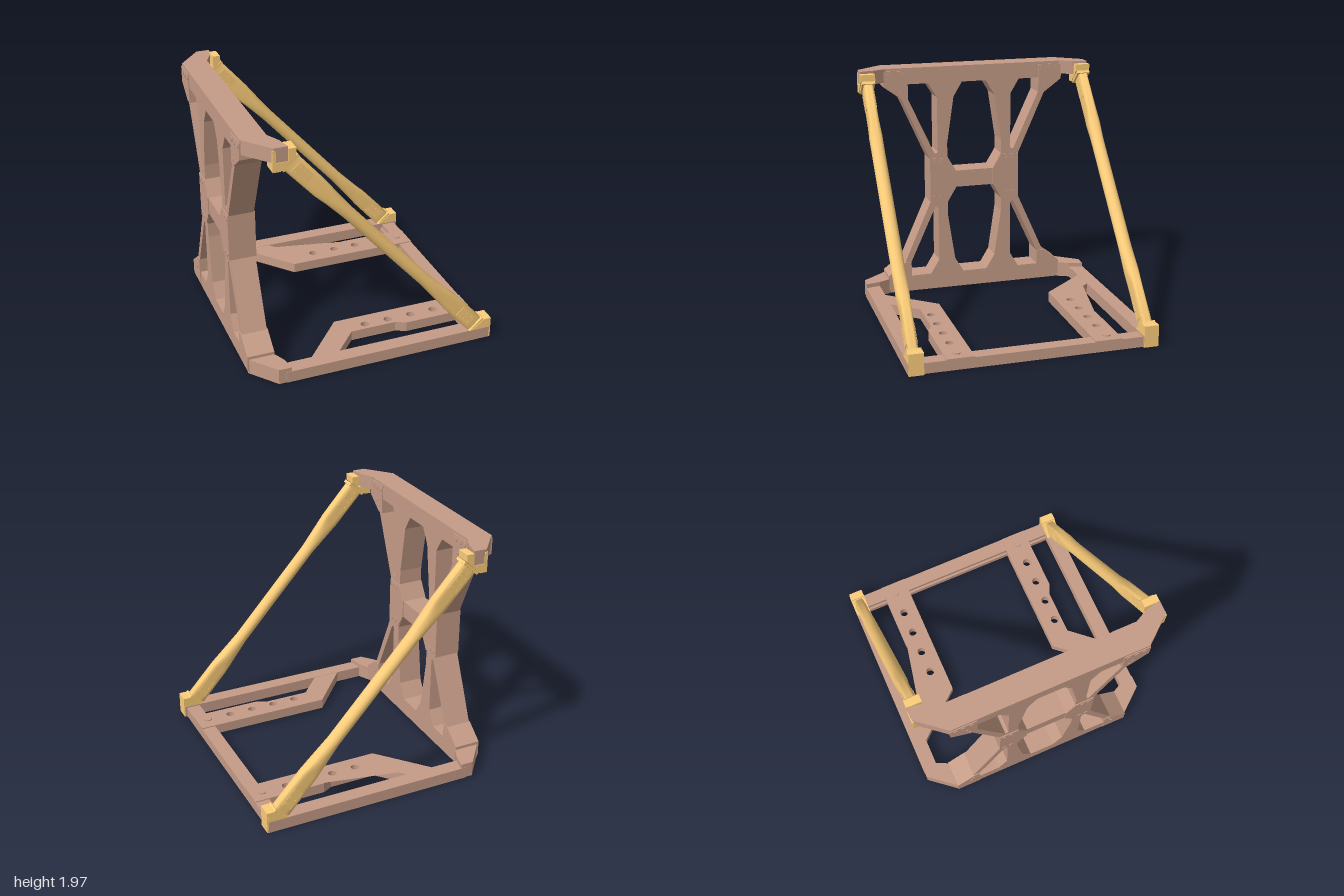
import * as THREE from 'three';

const brown = new THREE.MeshStandardMaterial({ color: 0xc69c87 });
const yellow = new THREE.MeshStandardMaterial({ color: 0xfccd7a });

const vec = (pts) => pts.map(([a, b]) => new THREE.Vector2(a, b));
const circle = (x, y, r) =>
  Array.from({ length: 24 }, (_, i) => [x + r * Math.cos((i * Math.PI) / 12), y + r * Math.sin((i * Math.PI) / 12)]);

// Points with a given winding: 1 is counter-clockwise, -1 is clockwise
function wound(pts, sign) {
  const v = vec(pts);
  return THREE.ShapeUtils.area(v) * sign < 0 ? v.reverse() : v;
}

function extrude(pts, holes, depth) {
  const shape = new THREE.Shape(wound(pts, 1));
  shape.holes = holes.map((h) => new THREE.Path(wound(h, -1)));
  return new THREE.ExtrudeGeometry(shape, { depth, bevelEnabled: false });
}

function add(parent, name, geometry, material = brown) {
  const mesh = new THREE.Mesh(geometry, material);
  mesh.name = name;
  parent.add(mesh);
  return mesh;
}

// Outline in (z, y), filling x0..x1
const sidePlate = (pts, holes, x0, x1) =>
  extrude(pts, holes, x1 - x0).rotateY(-Math.PI / 2).translate(x1, 0, 0);

// Outline in (x, z), filling y0..y1
const planPlate = (pts, holes, y0, y1) =>
  extrude(pts, holes, y1 - y0).rotateX(Math.PI / 2).translate(0, y1, 0);

const box = (x0, x1, y0, y1, z0, z1) =>
  new THREE.BoxGeometry(x1 - x0, y1 - y0, z1 - z0)
    .translate((x0 + x1) / 2, (y0 + y1) / 2, (z0 + z1) / 2);

// Strut lofted from flat rectangular ends to a round middle, along local y
function strutGeometry(length) {
  // [distance, half depth, half width in z, roundness]
  const half = [[0, 0.072, 0.038, 0], [0.36, 0.068, 0.04, 0], [0.48, 0.06, 0.053, 0.5], [0.68, 0.05, 0.054, 1]];
  const rings = [...half, ...half.slice().reverse().map(([d, a, b, k]) => [length - d, a, b, k])];
  const n = 24, pos = [], idx = [];
  for (const [d, a, b, k] of rings) {
    for (let i = 0; i < n; i++) {
      const t = ((i + 0.5) / n) * Math.PI * 2;
      const c = Math.cos(t), s = Math.sin(t);
      const f = k + (1 - k) / Math.max(Math.abs(c), Math.abs(s));
      pos.push(a * c * f, d, b * s * f);
    }
  }
  for (let r = 0; r < rings.length - 1; r++) {
    for (let i = 0; i < n; i++) {
      const p = r * n + i, q = r * n + ((i + 1) % n);
      idx.push(p, p + n, q, q, p + n, q + n);
    }
  }
  // end caps
  const last = (rings.length - 1) * n;
  for (let i = 1; i < n - 1; i++) {
    idx.push(0, i, i + 1, last, last + i + 1, last + i);
  }
  const g = new THREE.BufferGeometry();
  g.setAttribute('position', new THREE.Float32BufferAttribute(pos, 3));
  g.setIndex(idx);
  g.computeVertexNormals();
  return g;
}

function buildBackFrame() {
  const frame = new THREE.Group();
  frame.name = 'backFrame';
  const flip = ([z, y]) => [z, 1.995 - y];
  const mirror = ([z, y]) => [-z, y];

  // Outer outline, built from one quarter
  const quarter = [[0.78, 1.983], [0.78, 1.83], [0.63, 1.72], [0.395, 1.19]];
  const right = [...quarter, ...quarter.map(flip).reverse()];
  const outline = [...right, ...right.map(mirror).reverse()];

  // Centre and side windows
  const centre = [[0.105, 1.845], [0.18, 1.72], [0.24, 1.32], [0.24, 1.2], [0.165, 1.07]];
  const centreHole = [...centre, ...centre.map(mirror).reverse()];
  const sideHole = [[0.4, 1.845], [0.575, 1.845], [0.575, 1.72], [0.362, 1.255], [0.35, 1.235], [0.335, 1.235], [0.325, 1.25], [0.325, 1.72]];
  const windows = [centreHole, sideHole, sideHole.map(mirror)];
  const holes = [...windows, ...windows.map((w) => w.map(flip))];
  add(frame, 'framePanel', sidePlate(outline, holes, -0.975, -0.774));

  // Gusset and node plates with bolts on both faces
  const gusset = [[0.78, 1.96], [0.575, 1.96], [0.575, 1.72], [0.63, 1.72], [0.78, 1.83]];
  const node = [[0.395, 1.19], [0.24, 1.19], [0.165, 1.07], [0.165, 0.9975], [0.395, 0.9975]];
  const bolts = [[0.65, 1.825, 0.011], [0.63, 1.775, 0.011], [0.355, 1.15, 0.02], [0.3, 1.15, 0.02]];
  const topBolts = [[0.61, 1.925, 0.02], [0.675, 1.925, 0.02], [0.735, 1.925, 0.02]];
  for (const s of [1, -1]) {
    for (const up of [true, false]) {
      const place = ([z, y]) => (up ? [s * z, y] : flip([s * z, y]));
      for (const [x0, x1] of [[-0.983, -0.975], [-0.774, -0.766]]) {
        add(frame, 'gussetPlate', sidePlate(gusset.map(place), [], x0, x1));
        add(frame, 'nodePlate', sidePlate(node.map(place), [], x0, x1));
        for (const [z, y, r] of up ? [...bolts, ...topBolts] : bolts) {
          const [pz, py] = place([z, y]);
          const disc = new THREE.CylinderGeometry(r, r, 0.018, 16).rotateZ(Math.PI / 2);
          add(frame, 'bolt', disc).position.set((x0 + x1) / 2, py, pz);
        }
      }
    }
    // Angled corner pieces at the top and bottom
    const corner = [[-0.978, 0.77], [-0.8, 0.987], [-0.695, 0.987], [-0.72, 0.87], [-0.772, 0.765]]
      .map(([x, z]) => [x, s * z]);
    add(frame, 'topCorner', planPlate(corner, [], 1.87, 1.983));
    add(frame, 'bottomCorner', planPlate(corner, [], 0.012, 0.14));
  }
  return frame;
}

function buildBase() {
  const base = new THREE.Group();
  base.name = 'base';
  add(base, 'frontCrossbar', box(0.845, 0.96, 0.01, 0.095, -0.88, 0.88));
  add(base, 'crossbarLedge', box(0.825, 0.85, 0.01, 0.06, -0.88, 0.88));
  for (const s of [1, -1]) {
    add(base, 'sideRail', box(-0.74, 0.975, 0.01, 0.105, s * 0.93 - 0.06, s * 0.93 + 0.06));
    // Cranked bracket with lightening holes
    const plan = [[-0.5, 0.875], [-0.16, 0.48], [0.96, 0.48], [0.96, 0.7], [0.38, 0.7], [0.3, 0.66], [-0.08, 0.66], [-0.27, 0.875]]
      .map(([x, z]) => [x, s * z]);
    const holes = [0.06, 0.26, 0.46, 0.66].map((x) => circle(x, s * 0.6, 0.034));
    add(base, 'perforatedBracket', planPlate(plan, holes, 0.02, 0.103));
    const boss = new THREE.CylinderGeometry(0.032, 0.032, 0.02, 20);
    add(base, 'bracketBoss', boss).position.set(0.865, 0.102, s * 0.6);
  }
  return base;
}

function buildStrut(s) {
  const group = new THREE.Group();
  group.name = s > 0 ? 'leftStrut' : 'rightStrut';
  const a = new THREE.Vector3(-0.685, 1.86, s * 0.932);
  const b = new THREE.Vector3(0.865, 0.13, s * 0.932);
  const length = a.distanceTo(b);
  const rod = new THREE.Group();
  rod.name = 'diagonal';
  rod.position.copy(a);
  rod.quaternion.setFromUnitVectors(new THREE.Vector3(0, 1, 0), b.clone().sub(a).normalize());
  add(rod, 'strutTube', strutGeometry(length), yellow);
  // Raised pads, bolts and collars at both ends
  for (const d of [0.15, length - 0.15]) {
    add(rod, 'strutPad', box(-0.045, 0.045, d - 0.08, d + 0.08, -0.043, 0.043), yellow);
    for (const u of [-0.025, 0.025]) {
      for (const v of [-0.05, 0, 0.05]) {
        const pin = new THREE.CylinderGeometry(0.006, 0.006, 0.094, 10).rotateX(Math.PI / 2);
        add(rod, 'strutPin', pin, yellow).position.set(u, d + v, 0);
      }
    }
  }
  for (const d of [0.012, length - 0.012]) {
    add(rod, 'strutCollar', box(-0.08, 0.08, d - 0.012, d + 0.012, -0.055, 0.055), yellow);
  }
  group.add(rod);

  // Clamps gripping the upper corner and the front end of the rail
  const clamp = (name, pts) => add(group, name, extrude(pts, [], 0.12).translate(0, 0, s * 0.932 - 0.06), yellow);
  clamp('upperClamp', [[-0.81, 1.96], [-0.785, 1.96], [-0.785, 1.87], [-0.695, 1.87], [-0.695, 1.965], [-0.635, 1.965], [-0.635, 1.91], [-0.75, 1.8], [-0.81, 1.8]]);
  clamp('lowerClamp', [[0.8, 0.105], [0.975, 0.105], [0.975, 0.187], [0.92, 0.187], [0.9, 0.165], [0.83, 0.118]]);
  add(group, 'railEndPlate', box(0.97, 0.984, 0.012, 0.187, s * 0.932 - 0.058, s * 0.932 + 0.058), yellow);
  return group;
}

export function createModel() {
  const model = new THREE.Group();
  model.name = 'rackFrame';
  model.add(buildBackFrame(), buildBase(), buildStrut(1), buildStrut(-1));
  return model;
}
